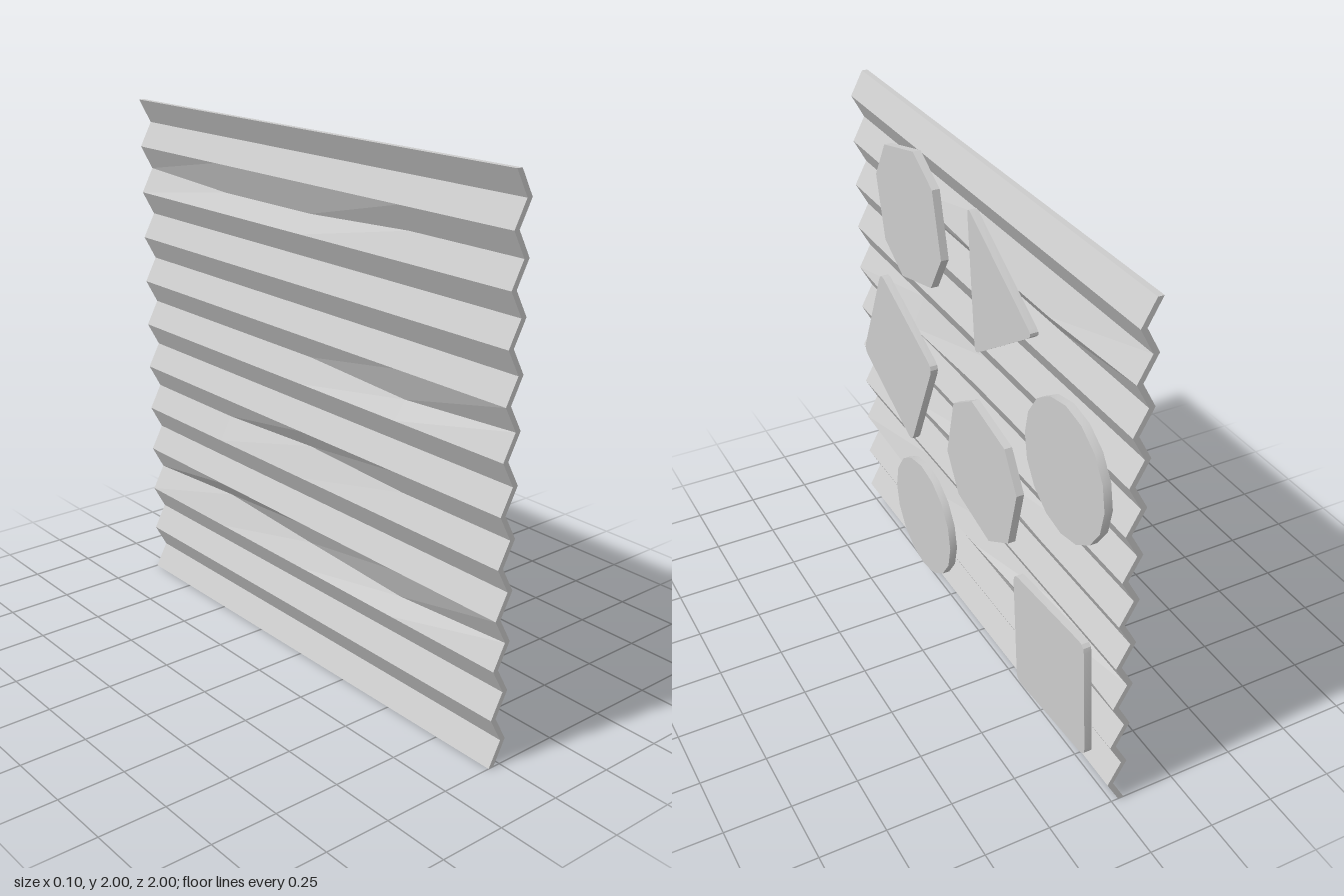
import * as THREE from 'three';
import { toCreasedNormals } from 'three/addons/utils/BufferGeometryUtils.js';

const FOLDS = 22;
const STEP = 2 / FOLDS;
const THICK = 0.022;
const PLATE_X = 0.02;
const PLATE_DEPTH = 0.03;

// Vertical shift of a few bent ridges at z = -1, -0.5, 0, 0.5, 1
const BENDS = {
  5: [0, 0.03, -0.002, -0.03, 0],
  9: [0, 0, 0.022, 0, 0],
  13: [0, 0, 0, -0.027, 0],
  19: [0, -0.025, -0.025, 0, 0],
};

// Zigzag sheet: a subdivided slab with every other row pushed forward
function corrugatedSheet() {
  const geo = new THREE.BoxGeometry(THICK, 2, 2, 1, FOLDS, 4);
  const pos = geo.attributes.position;
  for (let i = 0; i < pos.count; i++) {
    const row = Math.round((pos.getY(i) + 1) / STEP);
    const column = Math.round((pos.getZ(i) + 1) * 2);
    const bend = BENDS[row] ? BENDS[row][column] : 0;
    pos.setX(i, pos.getX(i) + (row % 2 ? 0.01 : -0.039));
    pos.setY(i, row * STEP + bend);
  }
  const flat = geo.toNonIndexed();
  flat.computeVertexNormals();
  return flat;
}

// Points on a circle; angles in degrees
const ring = (radius, angles) => angles.map((a) => {
  const t = THREE.MathUtils.degToRad(a);
  return new THREE.Vector2(radius * Math.cos(t), radius * Math.sin(t));
});

// Closed outline, with corners optionally rounded by r
function outline(points, r = 0) {
  if (!r) return new THREE.Shape(points);
  const shape = new THREE.Shape();
  points.forEach((p, i) => {
    const prev = points[(i + points.length - 1) % points.length];
    const next = points[(i + 1) % points.length];
    const a = p.clone().add(prev.clone().sub(p).setLength(r));
    const b = p.clone().add(next.clone().sub(p).setLength(r));
    if (i === 0) shape.moveTo(a.x, a.y);
    else shape.lineTo(a.x, a.y);
    shape.quadraticCurveTo(p.x, p.y, b.x, b.y);
  });
  shape.closePath();
  return shape;
}

// Flat plate facing +x, centred at (y, z), turned by the given degrees
function plate(name, shape, y, z, turn, material) {
  const geo = new THREE.ExtrudeGeometry(shape, { depth: PLATE_DEPTH, bevelEnabled: false, curveSegments: 3 });
  geo.rotateZ(THREE.MathUtils.degToRad(turn));
  geo.rotateY(Math.PI / 2);
  const mesh = new THREE.Mesh(toCreasedNormals(geo, Math.PI / 6), material);
  mesh.name = name;
  mesh.position.set(PLATE_X, y, z);
  return mesh;
}

export function createModel() {
  const group = new THREE.Group();
  group.name = 'corrugatedPanel';
  const material = new THREE.MeshStandardMaterial({ color: 0xcccccc });

  const sheet = new THREE.Mesh(corrugatedSheet(), material);
  sheet.name = 'corrugatedSheet';
  group.add(sheet);

  // Plate outlines
  const disc = outline(ring(0.249, Array.from({ length: 16 }, (_, i) => i * 22.5)));
  const octagon = outline(ring(0.276, [0, 90, 180, 270].flatMap((a) => [a - 27, a + 27])));
  const square = outline(ring(0.344, [45, 135, 225, 315]), 0.035);
  const triangle = outline([
    new THREE.Vector2(0.29, 0),
    new THREE.Vector2(-0.155, 0.268),
    new THREE.Vector2(-0.1, -0.265),
  ], 0.03);

  group.add(
    plate('upperOctagonPlate', octagon, 1.645, 0.457, 14.5, material),
    plate('middleOctagonPlate', octagon, 0.867, -0.108, -13, material),
    plate('trianglePlate', triangle, 1.612, -0.167, 0, material),
    plate('upperDiscPlate', disc, 1.231, -0.672, 0, material),
    plate('lowerDiscPlate', disc, 0.329, 0.396, 0, material),
    plate('tiltedSquarePlate', square, 0.969, 0.602, -24, material),
    plate('lowerSquarePlate', square, 0.364, -0.626, 5, material),
  );
  return group;
}
